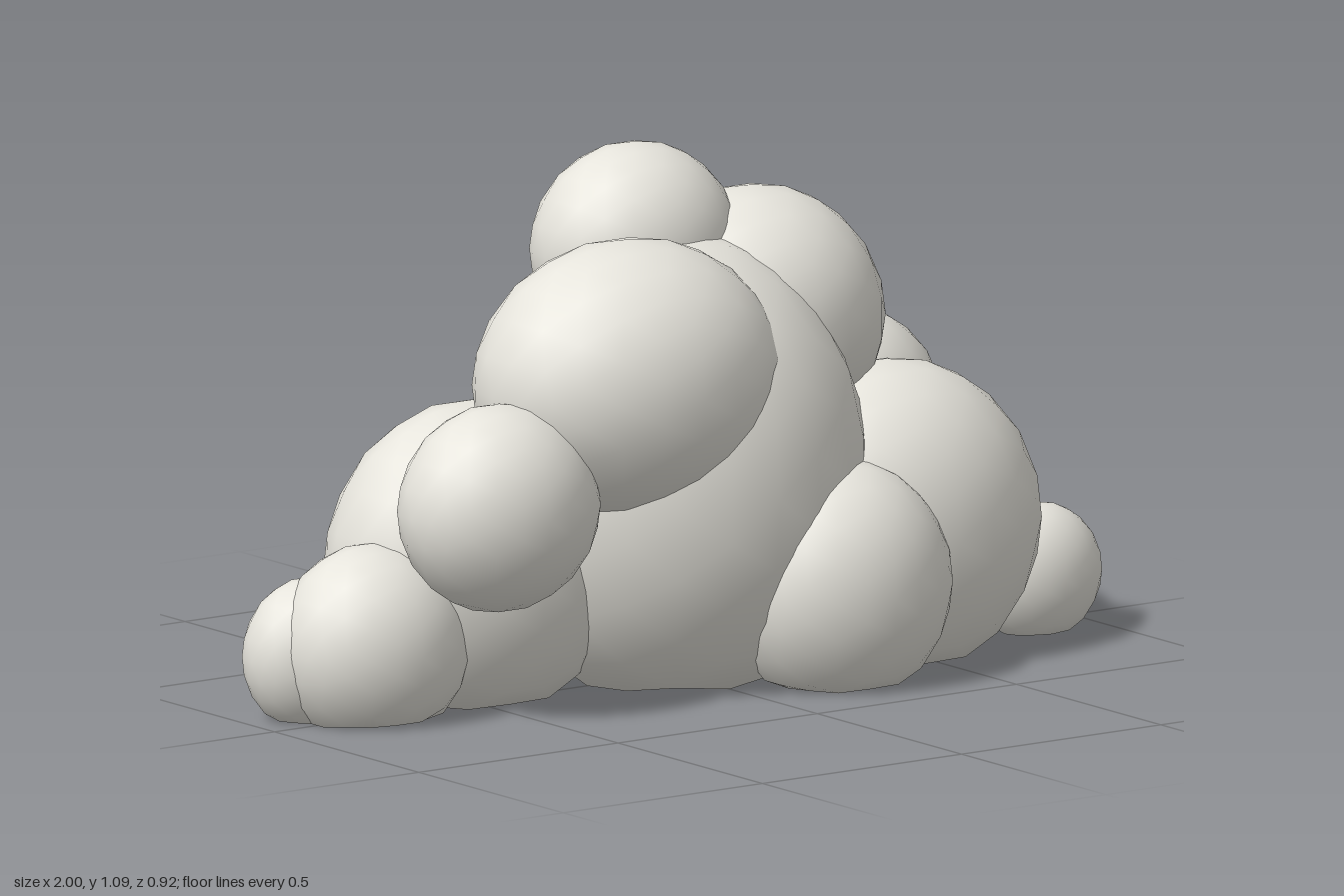
import * as THREE from 'three';
import { mergeVertices } from 'three/addons/utils/BufferGeometryUtils.js';

const cloudWhite = new THREE.MeshStandardMaterial({ color: 0xe6e4dc });
cloudWhite.name = 'cloudWhite';

// A smooth ellipsoid whose underside is pressed flat on the ground plane
function makePuff(name, [x, y, z], [rx, ry, rz]) {
  let geo = new THREE.IcosahedronGeometry(1, 3);
  geo.scale(rx, ry, rz);
  geo.translate(x, y, z);
  const p = geo.attributes.position;
  for (let i = 0; i < p.count; i++) p.setY(i, Math.max(0, p.getY(i)));
  geo.deleteAttribute('normal');
  geo.deleteAttribute('uv');
  geo = mergeVertices(geo, 1e-4);
  geo.computeVertexNormals();
  const mesh = new THREE.Mesh(geo, cloudWhite);
  mesh.name = name;
  return mesh;
}

// name, centre, radii
const PUFFS = [
  // core and crown
  ['corePuff', [0, 0.42, 0], [0.41, 0.5, 0.375]],
  ['crownPuff', [-0.01, 0.87, -0.12], [0.225, 0.215, 0.19]],
  ['upperRightPuff', [-0.2, 0.655, 0.12], [0.34, 0.29, 0.27]],
  ['upperLeftPuff', [0.24, 0.7, -0.06], [0.285, 0.275, 0.25]],
  // large shoulders
  ['leftShoulderPuff', [0.47, 0.27, 0.085], [0.345, 0.34, 0.265]],
  ['rightShoulderPuff', [-0.45, 0.27, -0.075], [0.325, 0.34, 0.255]],
  // mid-height side puffs
  ['rightMidPuff', [-0.56, 0.44, 0.17], [0.22, 0.215, 0.18]],
  ['leftMidPuff', [0.55, 0.45, -0.19], [0.23, 0.215, 0.178]],
  // low front and back puffs
  ['frontPuff', [0.23, 0.2, 0.26], [0.245, 0.257, 0.2]],
  ['backPuff', [-0.24, 0.2, -0.26], [0.245, 0.257, 0.2]],
  // tapering ends
  ['leftEndPuff', [0.75, 0.16, -0.075], [0.21, 0.215, 0.185]],
  ['rightEndPuff', [-0.75, 0.15, -0.005], [0.21, 0.21, 0.178]],
  ['leftTipPuff', [0.853, 0.12, 0.08], [0.147, 0.145, 0.108]],
  ['rightTipPuff', [-0.853, 0.13, -0.08], [0.147, 0.16, 0.12]],
];

export function createModel() {
  const cloud = new THREE.Group();
  cloud.name = 'cloud';
  for (const [name, centre, radii] of PUFFS) cloud.add(makePuff(name, centre, radii));
  return cloud;
}
